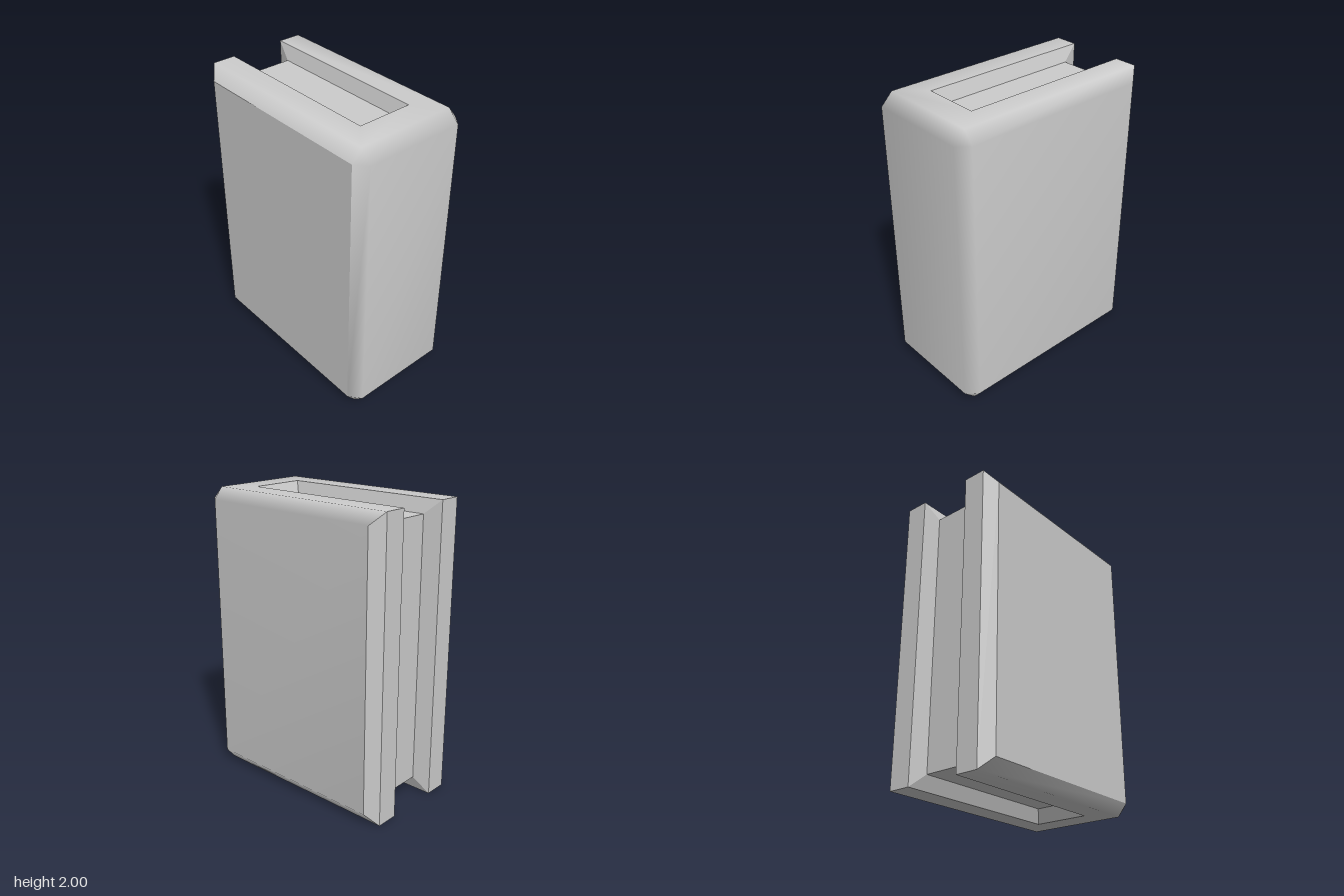
import * as THREE from 'three';
import { mergeVertices } from 'three/addons/utils/BufferGeometryUtils.js';

// x stations: fore edge, bevel inset, groove end, page block ends
const FORE = -0.735, SPINE = 0.735, BEVEL = 0.655, GROOVE = 0.48, PAGE_A = -0.62, PAGE_B = 0.44;
// half heights and half depths: outside, bevel, groove mouth, page block
const H = 1, HB = 0.92, HP = 0.905;
const D = 0.41, DB = 0.345, DG = 0.19, DP = 0.16;

// Builds one geometry from convex faces; smooth joins the shared corners
function facesGeometry(faces, smooth) {
  const pos = [];
  for (const f of faces)
    for (let i = 1; i < f.length - 1; i++) pos.push(...f[0], ...f[i], ...f[i + 1]);
  let geo = new THREE.BufferGeometry();
  geo.setAttribute('position', new THREE.Float32BufferAttribute(pos, 3));
  if (smooth) geo = mergeVertices(geo, 1e-4);
  geo.computeVertexNormals();
  return geo;
}

// Mirrors a face in y and z, keeping its corners in outward order
function mirrored(face, sy, sz) {
  const f = face.map(([x, y, z]) => [x, y * sy, z * sz]);
  return sy * sz < 0 ? f.reverse() : f;
}
const bothZ = (f) => [1, -1].map((s) => mirrored(f, 1, s));
const bothY = (f) => [1, -1].map((s) => mirrored(f, s, 1));
const allFour = (f) => [...bothZ(f), ...bothZ(f).map((g) => mirrored(g, -1, 1))];

export function createModel() {
  const group = new THREE.Group();
  const grey = new THREE.MeshStandardMaterial({ color: 0xcccccc });
  grey.name = 'light grey';
  const add = (name, geo) => {
    const mesh = new THREE.Mesh(geo, grey);
    mesh.name = name;
    mesh.position.y = H;
    group.add(mesh);
    return mesh;
  };

  // Flat cover panels
  const [front, back] = bothZ([[-BEVEL, -HB, D], [BEVEL, -HB, D], [BEVEL, HB, D], [-BEVEL, HB, D]]);
  add('frontCover', facesGeometry([front], false));

  // Softly shaded shell: back cover, spine, bevels and the rims at both ends
  add('coverShell', facesGeometry([
    back,
    [[SPINE, -HB, DB], [SPINE, -HB, -DB], [SPINE, HB, -DB], [SPINE, HB, DB]],
    ...bothZ([[BEVEL, -HB, D], [SPINE, -HB, DB], [SPINE, HB, DB], [BEVEL, HB, D]]),
    ...bothY([[BEVEL, H, DB], [SPINE, HB, DB], [SPINE, HB, -DB], [BEVEL, H, -DB]]),
    ...allFour([[-BEVEL, HB, D], [BEVEL, HB, D], [BEVEL, H, DB], [FORE, H, DB]]),
    ...allFour([[BEVEL, HB, D], [SPINE, HB, DB], [BEVEL, H, DB]]),
    ...allFour([[FORE, H, DB], [BEVEL, H, DB], [GROOVE, H, DG], [FORE, H, DG]]),
    ...bothY([[BEVEL, H, DB], [BEVEL, H, -DB], [GROOVE, H, -DG], [GROOVE, H, DG]]),
  ], true));

  // Sharp bevels and ends along the open edge
  add('coverOpenEdges', facesGeometry([
    ...bothZ([[FORE, -H, DB], [-BEVEL, -HB, D], [-BEVEL, HB, D], [FORE, H, DB]]),
    ...bothZ([[FORE, -H, DG], [FORE, -H, DB], [FORE, H, DB], [FORE, H, DG]]),
  ], false));

  // Sloping walls from the cover rim down to the pages
  add('coverInnerWalls', facesGeometry([
    ...bothZ([[FORE, -H, DG], [FORE, H, DG], [PAGE_A, HP, DP], [PAGE_A, -HP, DP]]),
    ...allFour([[FORE, H, DG], [GROOVE, H, DG], [PAGE_B, HP, DP], [PAGE_A, HP, DP]]),
    ...bothY([[GROOVE, H, DG], [GROOVE, H, -DG], [PAGE_B, HP, -DP], [PAGE_B, HP, DP]]),
  ], false));

  // Recessed page block
  const pages = add('pages', new THREE.BoxGeometry(PAGE_B - PAGE_A, HP * 2, DP * 2));
  pages.position.x = (PAGE_A + PAGE_B) / 2;

  return group;
}
